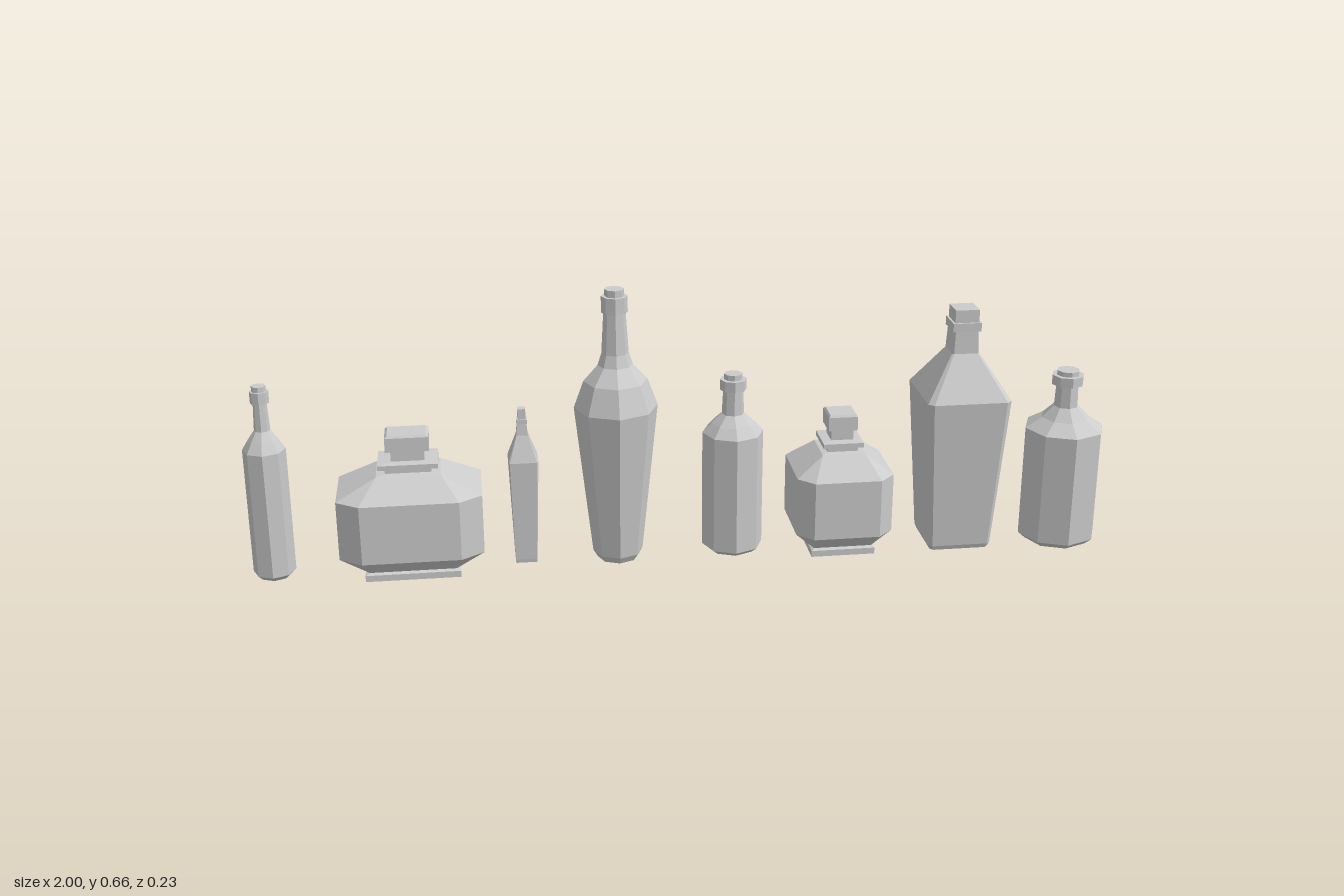
import * as THREE from 'three';

const glass = new THREE.MeshStandardMaterial({ color: 0xcccccc, flatShading: true });

// Eight-sided turned shape from [radius, y] points, closed at both ends
function turned(profile) {
  const pts = [[0, profile[0][1]], ...profile, [0, profile[profile.length - 1][1]]];
  return new THREE.LatheGeometry(pts.map(([r, y]) => new THREE.Vector2(r, y)), 8);
}

// Square shape with cut corners, lofted through [halfWidth, y, cornerCut] rings
function squared(profile) {
  const pts = [[0, profile[0][1]], ...profile, [0, profile[profile.length - 1][1]]];
  const pos = [], index = [];
  for (const [h, y, c = 0] of pts) {
    const f = h - c;
    for (const [x, z] of [[-f, h], [f, h], [h, f], [h, -f], [f, -h], [-f, -h], [-h, -f], [-h, f]]) {
      pos.push(x, y, z);
    }
  }
  for (let i = 0; i < pts.length - 1; i++) {
    for (let j = 0; j < 8; j++) {
      const a = i * 8 + j, b = i * 8 + (j + 1) % 8;
      index.push(a, b, b + 8, a, b + 8, a + 8);
    }
  }
  const geo = new THREE.BufferGeometry();
  geo.setAttribute('position', new THREE.Float32BufferAttribute(pos, 3));
  geo.setIndex(index);
  geo.computeVertexNormals();
  return geo;
}

// Wide decanter shared by the square and the stretched version
const decanterBody = [
  [0.075, 0.015], [0.075, 0.03], [0.068, 0.034], [0.113, 0.075, 0.036], [0.113, 0.215, 0.036],
  [0.05, 0.26], [0.036, 0.262], [0.036, 0.274], [0.047, 0.274], [0.047, 0.285], [0.026, 0.287], [0.026, 0.315],
];
const decanterStopper = [[0.034, 0.312], [0.034, 0.345], [0.03, 0.35]];

const bottles = [
  { name: 'slimBottle', x: -0.95, make: turned,
    body: [[0.036, 0.012], [0.048, 0.024], [0.048, 0.322], [0.034, 0.345], [0.018, 0.368], [0.015, 0.435]],
    stopper: [[0.021, 0.432], [0.021, 0.46], [0.016, 0.46], [0.016, 0.472]] },
  { name: 'wideDecanter', x: -0.634, make: squared, stretch: 1.44, body: decanterBody, stopper: decanterStopper },
  { name: 'smallVial', x: -0.375, make: squared,
    body: [[0.024, 0.018], [0.025, 0.026], [0.034, 0.27, 0.003], [0.013, 0.33], [0.01, 0.365]],
    stopper: [[0.012, 0.357], [0.012, 0.367], [0.009, 0.367], [0.009, 0.392]] },
  { name: 'tallBottle', x: -0.16, make: turned,
    body: [[0.048, 0.013], [0.058, 0.03], [0.096, 0.387], [0.073, 0.45], [0.04, 0.487], [0.031, 0.515], [0.025, 0.612]],
    stopper: [[0.03, 0.61], [0.03, 0.648], [0.022, 0.648], [0.022, 0.664]] },
  { name: 'mediumBottle', x: 0.11, make: turned,
    body: [[0.056, 0.02], [0.071, 0.032], [0.071, 0.312], [0.05, 0.335], [0.026, 0.357], [0.023, 0.422]],
    stopper: [[0.031, 0.415], [0.031, 0.44], [0.021, 0.44], [0.021, 0.453]] },
  { name: 'squareDecanter', x: 0.363, make: squared, body: decanterBody, stopper: decanterStopper },
  { name: 'taperedBottle', x: 0.645, make: squared,
    body: [[0.07, 0.013, 0.008], [0.074, 0.024, 0.008], [0.098, 0.387, 0.012], [0.032, 0.487, 0.004], [0.029, 0.545, 0.003]],
    stopper: [[0.033, 0.54], [0.033, 0.56], [0.028, 0.56], [0.028, 0.59]] },
  { name: 'roundBottle', x: 0.905, make: turned,
    body: [[0.077, 0], [0.094, 0.015], [0.094, 0.285], [0.056, 0.31], [0.029, 0.338], [0.027, 0.395]],
    stopper: [[0.038, 0.392], [0.038, 0.415], [0.027, 0.415], [0.027, 0.426]] },
];

export function createModel() {
  const model = new THREE.Group();
  model.name = 'bottleRow';
  for (const { name, x, make, body, stopper, stretch = 1 } of bottles) {
    const bottle = new THREE.Group();
    bottle.name = name;
    for (const [part, profile] of Object.entries({ body, stopper })) {
      const mesh = new THREE.Mesh(make(profile), glass);
      mesh.name = part;
      bottle.add(mesh);
    }
    bottle.position.x = x;
    bottle.scale.x = stretch;
    model.add(bottle);
  }
  return model;
}
